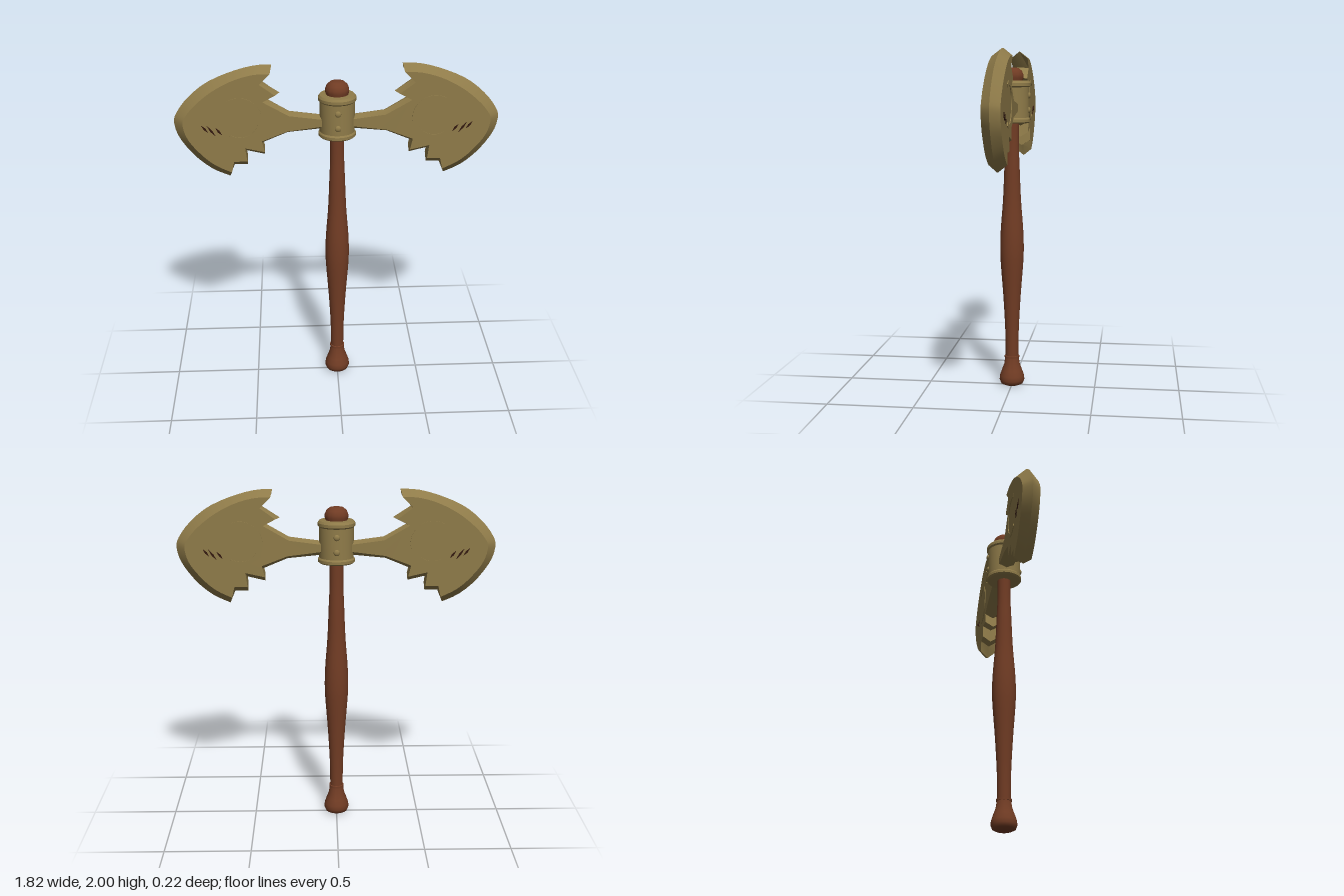
import * as THREE from 'three';
import { toCreasedNormals } from 'three/addons/utils/BufferGeometryUtils.js';

const mat = (name, color, side = THREE.FrontSide) => {
  const m = new THREE.MeshStandardMaterial({ color, side });
  m.name = name;
  return m;
};

const vec = (pts) => pts.map(([x, y]) => new THREE.Vector2(x, y));

// Smooth cutting edge followed by straight broken edges, counter-clockwise
const outline = (arc, broken) =>
  [...new THREE.SplineCurve(vec(arc)).getPoints(28), ...vec(broken)].reverse();

// Blade solid: wide outline on the centre plane, smaller outline on both faces
function bladeGeometry() {
  const mid = outline(
    [[0.36, 2], [0.46, 1.995], [0.59, 1.96], [0.725, 1.9], [0.83, 1.815], [0.895, 1.73], [0.911, 1.67],
      [0.885, 1.58], [0.805, 1.47], [0.71, 1.39], [0.614, 1.345]],
    [[0.585, 1.415], [0.51, 1.415], [0.515, 1.5], [0.41, 1.475], [0.425, 1.545], [0.28, 1.605], [0.08, 1.625],
      [0.08, 1.705], [0.27, 1.73], [0.4, 1.805], [0.32, 1.84], [0.42, 1.905]]);
  const face = outline(
    [[0.37, 1.96], [0.46, 1.957], [0.575, 1.925], [0.69, 1.865], [0.785, 1.79], [0.845, 1.72], [0.86, 1.67],
      [0.835, 1.585], [0.765, 1.495], [0.69, 1.43], [0.6, 1.385]],
    [[0.585, 1.45], [0.51, 1.45], [0.52, 1.53], [0.41, 1.505], [0.425, 1.57], [0.28, 1.625], [0.08, 1.65],
      [0.08, 1.69], [0.27, 1.715], [0.415, 1.8], [0.345, 1.837], [0.43, 1.9]]);
  const n = mid.length;
  const pos = [];
  const depth = (p) => (p.x < 0.3 ? 0.045 : 0.05);
  face.forEach((p) => pos.push(p.x, p.y, depth(p)));
  mid.forEach((p) => pos.push(p.x, p.y, 0));
  face.forEach((p) => pos.push(p.x, p.y, -depth(p)));
  const index = [];
  for (const [a, b, c] of THREE.ShapeUtils.triangulateShape(face, [])) {
    index.push(a, b, c, 2 * n + a, 2 * n + c, 2 * n + b);
  }
  for (let i = 0; i < n; i++) {
    const j = (i + 1) % n;
    for (const [lo, hi] of [[n, 0], [2 * n, n]]) {
      index.push(lo + i, lo + j, hi + j, lo + i, hi + j, hi + i);
    }
  }
  const g = new THREE.BufferGeometry();
  g.setAttribute('position', new THREE.Float32BufferAttribute(pos, 3));
  g.setIndex(index);
  return toCreasedNormals(g, 0.4);
}

// Open circular band, facing the blade's cutting edge with its gap
function bandGeometry() {
  const s = new THREE.Shape();
  const a = Math.PI * 0.33, b = Math.PI * 1.67;
  s.absarc(0.545, 1.7, 0.126, a, b, false);
  s.absarc(0.545, 1.7, 0.104, b, a, true);
  s.closePath();
  return new THREE.ExtrudeGeometry(s, { depth: 0.008, bevelEnabled: false, curveSegments: 28 });
}

// Three narrow slanted scratches
function scratchGeometry() {
  const cuts = [[0.645, 1.612, 0.68, 1.655], [0.68, 1.605, 0.727, 1.668], [0.722, 1.627, 0.758, 1.67]];
  const shapes = cuts.map(([x0, y0, x1, y1]) => {
    const mx = (x0 + x1) / 2, my = (y0 + y1) / 2;
    return new THREE.Shape(vec([[x0, y0], [mx + 0.005, my - 0.004], [x1, y1], [mx - 0.005, my + 0.004]]));
  });
  return new THREE.ExtrudeGeometry(shapes, { depth: 0.004, bevelEnabled: false });
}

export function createModel() {
  const bronze = mat('bronze', 0x8f7b49);
  const wood = mat('wood', 0x713c24);
  const dark = mat('darkScratch', 0x33190f);
  const model = new THREE.Group();
  model.name = 'doubleAxe';

  const add = (parent, name, geometry, material) => {
    const mesh = new THREE.Mesh(geometry, material);
    mesh.name = name;
    parent.add(mesh);
    return mesh;
  };
  const lathe = (pts, crease) => toCreasedNormals(new THREE.LatheGeometry(vec(pts), 40), crease);

  // Handle with flared pommel and swollen grip
  add(model, 'pommel', lathe([[0, 0], [0.045, 0.002], [0.066, 0.012], [0.075, 0.035], [0.072, 0.06],
    [0.06, 0.095], [0.047, 0.13], [0.041, 0.17], [0, 0.17]], 0.8), wood);
  add(model, 'pommelRing', lathe([[0.036, 0.168], [0.044, 0.17], [0.044, 0.182], [0.036, 0.184]], 0.8), wood);
  const grip = new THREE.SplineCurve(vec([[0.038, 0.18], [0.041, 0.35], [0.052, 0.55], [0.067, 0.75],
    [0.07, 0.85], [0.066, 0.96], [0.053, 1.13], [0.045, 1.32], [0.04, 1.45], [0.04, 1.62]])).getPoints(36);
  add(model, 'handle', new THREE.LatheGeometry(grip, 40), wood);
  add(model, 'topKnob', lathe([[0.055, 1.78], [0.06, 1.82], [0.067, 1.84], [0.067, 1.858], [0.058, 1.88],
    [0.04, 1.896], [0.02, 1.9], [0, 1.9]], 0.9), wood);

  // Socket with rims and rivets
  add(model, 'socket', lathe([[0.035, 1.58], [0.098, 1.58], [0.106, 1.587], [0.106, 1.603], [0.099, 1.612],
    [0.099, 1.787], [0.107, 1.795], [0.107, 1.812], [0.098, 1.824], [0.075, 1.826], [0, 1.826]], 0.5), bronze);
  for (const y of [1.655, 1.74]) {
    for (const side of [1, -1]) {
      const rivet = add(model, 'rivet', new THREE.SphereGeometry(0.018, 16, 10), bronze);
      rivet.position.set(0, y, side * 0.099);
      rivet.scale.z = 0.6;
    }
  }

  // Two matching broken blades, decorated on both faces
  const blade = bladeGeometry(), band = bandGeometry(), scratches = scratchGeometry();
  for (const side of ['left', 'right']) {
    const half = new THREE.Group();
    half.name = side + 'BladeGroup';
    half.rotation.y = side === 'left' ? 0 : Math.PI;
    add(half, side + 'Blade', blade, bronze);
    for (const z of [0.0465, -0.0545]) add(half, 'openBand', band, bronze).position.z = z;
    for (const z of [0.048, -0.052]) add(half, 'scratches', scratches, dark).position.z = z;
    model.add(half);
  }
  return model;
}
